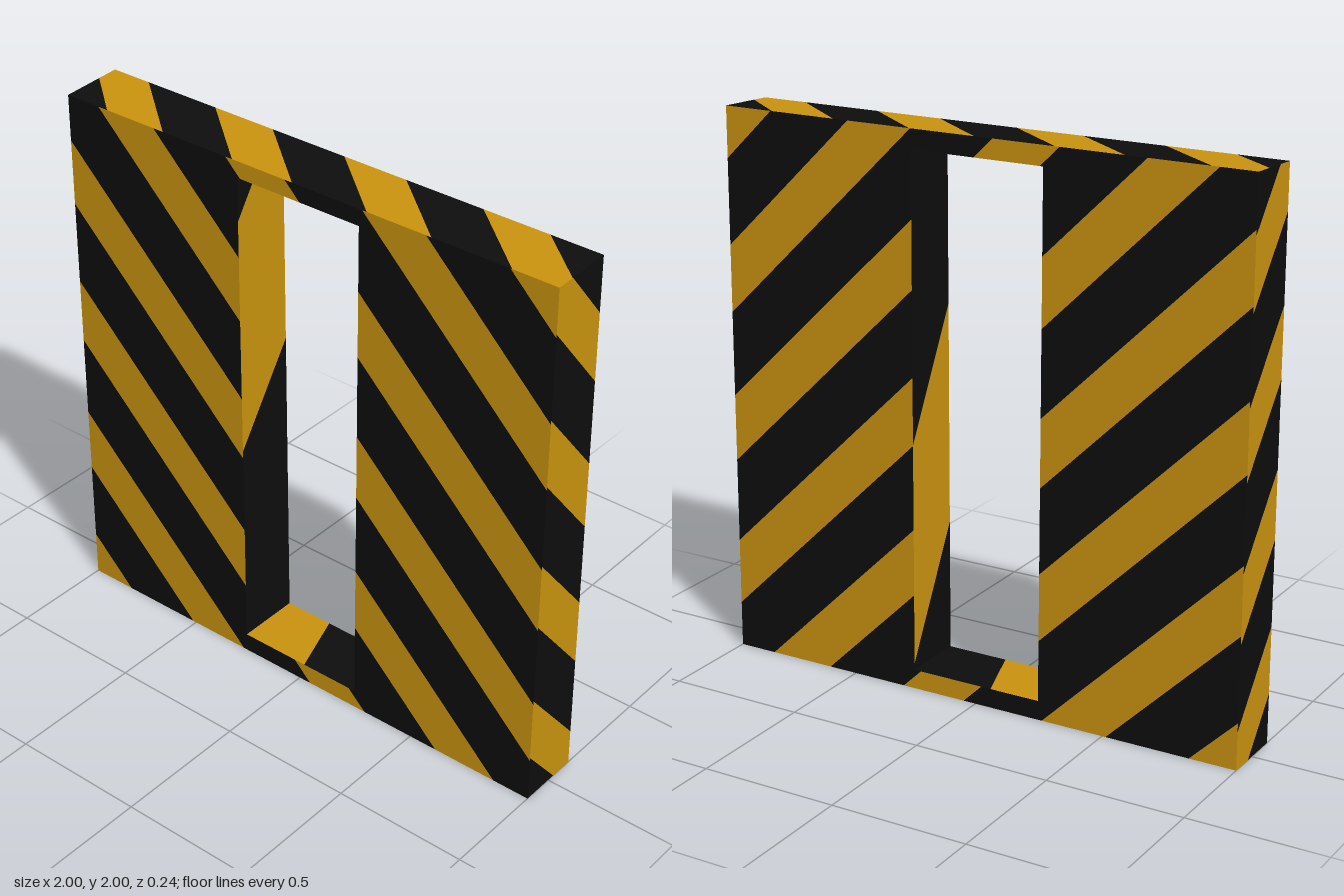
import * as THREE from 'three';

const black = new THREE.MeshStandardMaterial({ color: 0x0d0d0d });
black.name = 'black';
const yellow = new THREE.MeshStandardMaterial({ color: 0xc8920f });
yellow.name = 'hazardYellow';

const FRONT = 0.12;
const PERIOD = 0.55;
const backZ = (y) => -0.12 + 0.006 * y; // the back leans in slightly

// keep the part of a convex polygon where dist(p) >= 0
function clip(poly, dist) {
  const out = [];
  poly.forEach((a, i) => {
    const b = poly[(i + 1) % poly.length];
    const da = dist(a), db = dist(b);
    if (da >= 0) out.push(a);
    if ((da >= 0) !== (db >= 0)) out.push(a.clone().lerp(b, da / (da - db)));
  });
  return out;
}

// flat face made of quads, cut into stripes: yellow where lo < f(p) < hi, repeating
function stripedFace(name, quads, normal, f, lo, hi, period = PERIOD) {
  const sets = [[], []];
  const n = new THREE.Vector3(...normal);
  for (const quad of quads) {
    const pts = quad.map((p) => new THREE.Vector3(...p));
    const facing = pts[1].clone().sub(pts[0]).cross(pts[2].clone().sub(pts[0]));
    if (facing.dot(n) < 0) pts.reverse();
    const values = pts.map(f);
    const first = Math.floor((Math.min(...values) - lo) / period);
    const last = Math.ceil((Math.max(...values) - lo) / period);
    for (let k = first; k <= last; k++) {
      const edges = [lo, hi, lo + period].map((e) => e + k * period);
      for (let s = 0; s < 2; s++) {
        const above = clip(pts, (p) => f(p) - edges[s]);
        const band = clip(above, (p) => edges[s + 1] - f(p));
        for (let i = 1; i + 1 < band.length; i++) {
          for (const p of [band[0], band[i], band[i + 1]]) sets[s].push(p.x, p.y, p.z);
        }
      }
    }
  }
  const geometry = new THREE.BufferGeometry();
  geometry.setAttribute('position', new THREE.Float32BufferAttribute([...sets[0], ...sets[1]], 3));
  geometry.addGroup(0, sets[0].length / 3, 0);
  geometry.addGroup(sets[0].length / 3, sets[1].length / 3, 1);
  geometry.computeVertexNormals();
  const mesh = new THREE.Mesh(geometry, [yellow, black]);
  mesh.name = name;
  return mesh;
}

export function createModel() {
  const group = new THREE.Group();
  group.name = 'stripedDoorFrame';
  const hx = 0.25, sill = 0.07, head = 1.93;

  // front and back: two wide posts with a thin sill and lintel between
  const frameQuads = (zAt, top) =>
    [[-1, -hx, 0, top], [hx, 1, 0, top], [-hx, hx, 0, sill], [-hx, hx, head, top]].map(
      ([x0, x1, y0, y1]) => [
        [x0, y0, zAt(y0)], [x1, y0, zAt(y0)], [x1, y1, zAt(y1)], [x0, y1, zAt(y1)],
      ]);
  const diagonal = (p) => 0.98 * p.x + p.y;
  group.add(
    stripedFace('frontFace', frameQuads(() => FRONT, 1.99), [0, 0, 1], diagonal, 0.047, 0.29),
    stripedFace('backFace', frameQuads(backZ, 2), [0, 0, -1], diagonal, 0.047, 0.29),
  );

  // outer ends
  const endQuad = (x, y0, yFront, yBack) =>
    [[x, y0, FRONT], [x, y0, backZ(y0)], [x, yBack, backZ(yBack)], [x, yFront, FRONT]];
  for (const [name, x] of [['leftEnd', 1], ['rightEnd', -1]]) {
    group.add(stripedFace(name, [endQuad(x, 0, 1.99, 2)], [x, 0, 0],
      (p) => p.y + 1.2 * (FRONT - p.z), 0.73, 0.975));
  }

  // top and bottom
  const levelQuad = (w, yFront, yBack) =>
    [[-w, yFront, FRONT], [w, yFront, FRONT], [w, yBack, backZ(yBack)], [-w, yBack, backZ(yBack)]];
  const across = (p) => p.x - 1.2 * (p.z - FRONT);
  group.add(
    stripedFace('topFace', [levelQuad(1, 1.99, 2)], [0, 1, 0], across, -0.82, -0.57),
    stripedFace('bottomFace', [levelQuad(1, 0, 0)], [0, -1, 0], across, -0.82, -0.57),
  );

  // inside of the opening, with broader stripes
  group.add(
    stripedFace('rightJamb', [endQuad(-hx, sill, head, head)], [1, 0, 0],
      (p) => p.y - 1.5 * (FRONT - p.z), 0.87, 1.77, 3),
    stripedFace('leftJamb', [endQuad(hx, sill, head, head)], [-1, 0, 0],
      (p) => p.y + 1.9 * (FRONT - p.z), 0.55, 1.35, 3),
    stripedFace('sillTop', [levelQuad(hx, sill, sill)], [0, 1, 0],
      (p) => p.x - 0.34 * p.z, -0.4, -0.02, 3),
    stripedFace('lintelUnderside', [levelQuad(hx, head, head)], [0, -1, 0],
      (p) => p.x + 0.64 * p.z, -0.155, 0.13, 3),
  );
  return group;
}
